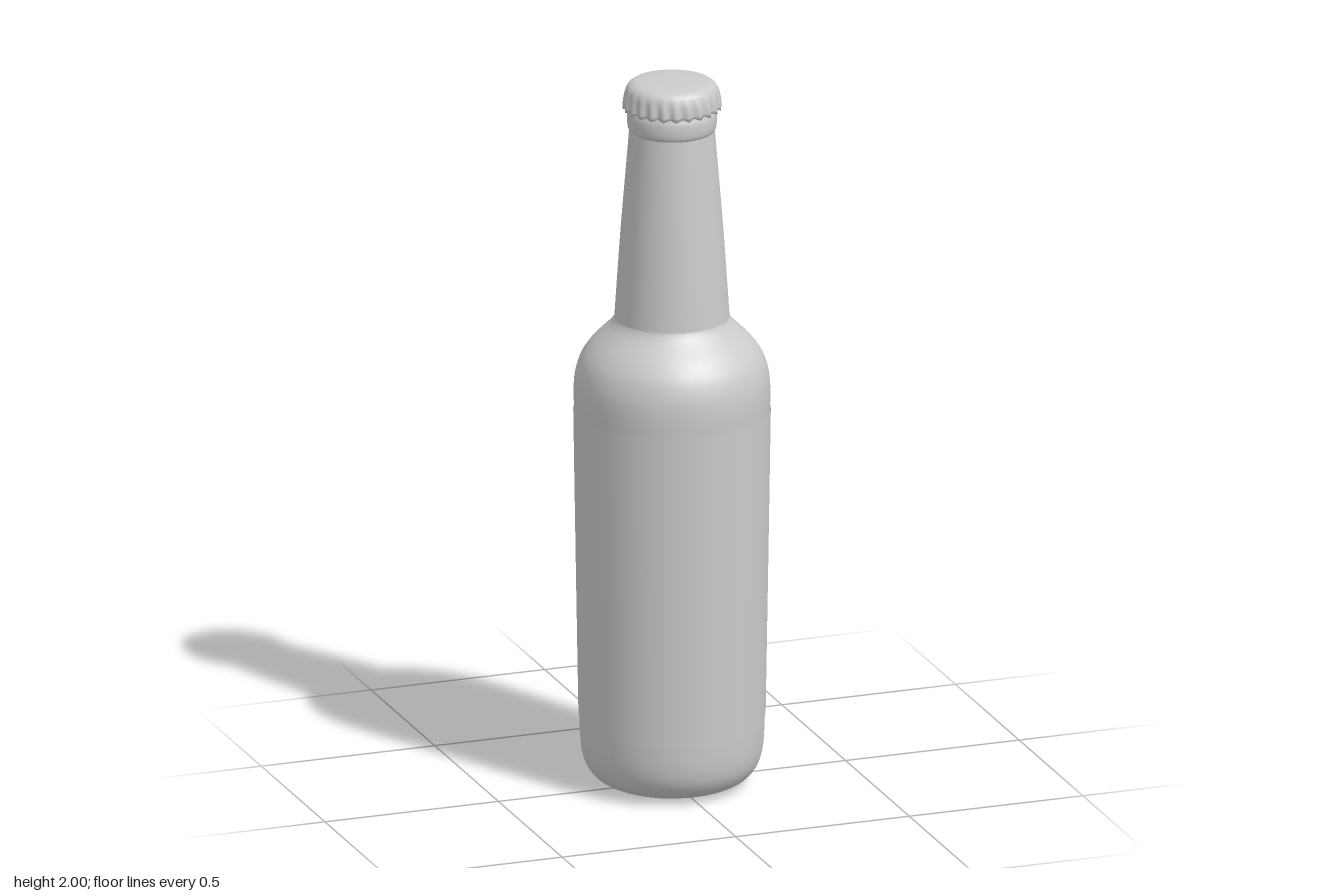
import * as THREE from 'three';
import { mergeVertices } from 'three/addons/utils/BufferGeometryUtils.js';

const material = new THREE.MeshStandardMaterial({ color: 0xcccccc, side: THREE.DoubleSide });
const SIDES = 48;

// Turned part from [radius, height] pairs
function turned(name, profile, sides = SIDES) {
  const points = profile.map(([r, y]) => new THREE.Vector2(r, y));
  const mesh = new THREE.Mesh(new THREE.LatheGeometry(points, sides), material);
  mesh.name = name;
  return mesh;
}

// Smooth profile through a few [radius, height] pairs
function smooth(pairs, steps) {
  const curve = new THREE.SplineCurve(pairs.map(([r, y]) => new THREE.Vector2(r, y)));
  return curve.getPoints(steps).map((p) => [p.x, p.y]);
}

// Crown cap: a turned shell whose skirt is pressed into flutes
function crownCap() {
  const flutes = 24;
  const cap = turned('cap', [
    [0.116, 1.93], [0.131, 1.926], [0.131, 1.935], [0.13, 1.95], [0.128, 1.965],
    [0.125, 1.978], [0.119, 1.988], [0.109, 1.995], [0.095, 1.999], [0.05, 2], [0, 2],
  ], flutes * 8);
  let geometry = cap.geometry;
  const pos = geometry.attributes.position;
  for (let i = 0; i < pos.count; i++) {
    const x = pos.getX(i), y = pos.getY(i), z = pos.getZ(i);
    const r = Math.hypot(x, z);
    if (r < 0.12) continue;
    const depth = THREE.MathUtils.clamp((1.982 - y) / 0.04, 0, 1);
    const wave = Math.cos(Math.atan2(x, z) * flutes);
    const k = (r + 0.004 * depth * wave) / r;
    pos.setXYZ(i, x * k, y - (y < 1.93 ? 0.003 * wave : 0), z * k);
  }
  // Weld the seam so the flutes shade evenly all round
  geometry.deleteAttribute('uv');
  geometry.deleteAttribute('normal');
  geometry = mergeVertices(geometry, 1e-5);
  geometry.computeVertexNormals();
  cap.geometry = geometry;
  return cap;
}

export function createModel() {
  const model = new THREE.Group();
  model.name = 'bottle';

  // Glass: rounded foot, slightly widening wall, domed shoulder
  const foot = smooth([[0.14, 0.003], [0.175, 0.009], [0.21, 0.028], [0.235, 0.062], [0.247, 0.11], [0.251, 0.18]], 20);
  const shoulder = smooth([
    [0.265, 1.06], [0.2665, 1.12], [0.262, 1.17], [0.247, 1.217],
    [0.221, 1.255], [0.19, 1.287], [0.166, 1.312], [0.154, 1.335], [0.15, 1.37],
  ], 32);
  model.add(turned('body', [[0, 0], [0.1, 0], [0.13, 0.001], ...foot, [0.258, 0.62], ...shoulder]));

  // Thin wrap around the body
  model.add(turned('bodyLabel', [[0.2535, 0.2], [0.2605, 0.62], [0.2675, 1.065]]));

  // Tapering neck sleeve, with its lower edge standing proud of the shoulder
  model.add(turned('neck', smooth([[0.156, 1.33], [0.15, 1.42], [0.139, 1.58], [0.126, 1.74], [0.116, 1.862]], 20)));
  model.add(turned('neckEdge', [[0.145, 1.332], [0.156, 1.33]]));

  // Rounded bead below the cap
  model.add(turned('lip', smooth([
    [0.108, 1.858], [0.115, 1.862], [0.12, 1.872], [0.122, 1.89], [0.121, 1.91], [0.117, 1.922], [0.114, 1.94],
  ], 18)));

  model.add(crownCap());
  return model;
}
